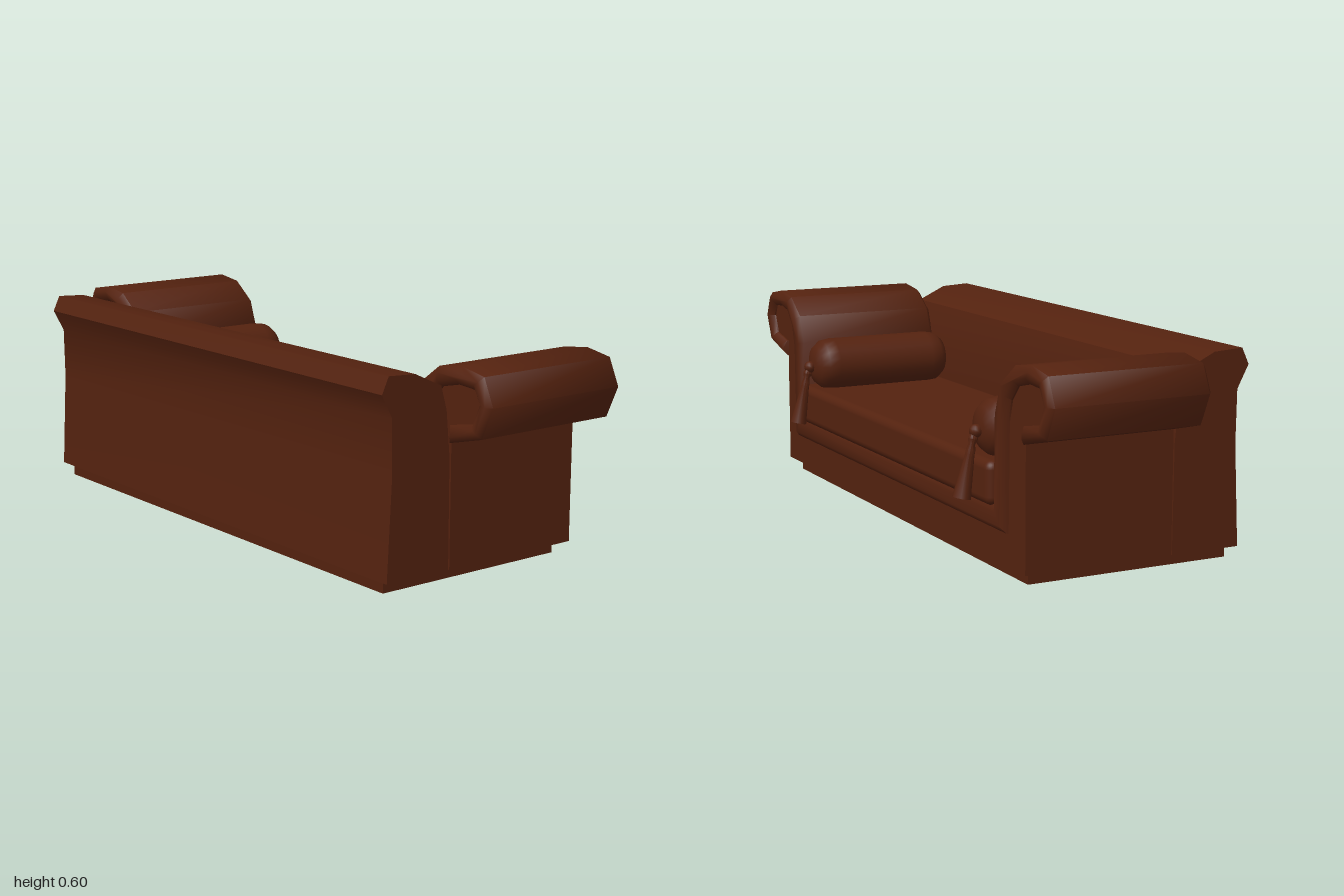
import * as THREE from 'three';
import { toCreasedNormals } from 'three/addons/utils/BufferGeometryUtils.js';
import { RoundedBoxGeometry } from 'three/addons/geometries/RoundedBoxGeometry.js';

const leather = new THREE.MeshStandardMaterial({ color: 0x54220f });
leather.name = 'brown leather';

function add(parent, name, geometry, x = 0, y = 0, z = 0) {
  const mesh = new THREE.Mesh(geometry, leather);
  mesh.name = name;
  mesh.position.set(x, y, z);
  parent.add(mesh);
  return mesh;
}

// Closed shape from the right half of a symmetric outline, listed from bottom to top
const mirrored = (half) => new THREE.Shape([
  ...half.map(([x, y]) => new THREE.Vector2(x, y)),
  ...[...half].reverse().map(([x, y]) => new THREE.Vector2(-x, y)),
]);

// Bolster cushion with a hanging tassel on its front end
function createBolster() {
  const bolster = new THREE.Group();
  bolster.name = 'bolster';
  const profile = [[0, -0.235], [0.03, -0.233], [0.06, -0.222], [0.078, -0.2], [0.084, -0.165],
    [0.084, 0.165], [0.078, 0.2], [0.06, 0.222], [0.03, 0.233], [0, 0.235]];
  const roll = new THREE.LatheGeometry(profile.map(([r, y]) => new THREE.Vector2(r, y)), 20);
  add(bolster, 'bolsterRoll', roll.rotateX(Math.PI / 2), 0, 0.39, -0.08);
  add(bolster, 'tasselKnob', new THREE.SphereGeometry(0.019, 12, 8), 0, 0.384, -0.322);

  const top = new THREE.Vector3(0, 0.378, -0.328);
  const dir = new THREE.Vector3(0, 0.203, -0.366).sub(top);
  const length = dir.length();
  const tasselProfile = [[0, 0], [0.009, 0], [0.014, 0.015], [0.009, 0.03], [0.013, 0.045],
    [0.013, 0.06], [0.026, length], [0, length]];
  const tassel = add(bolster, 'tassel', toCreasedNormals(new THREE.LatheGeometry(
    tasselProfile.reverse().map(([r, d]) => new THREE.Vector2(r, -d)), 12), 0.8));
  tassel.position.copy(top);
  tassel.quaternion.setFromUnitVectors(new THREE.Vector3(0, -1, 0), dir.normalize());
  return bolster;
}

export function createModel() {
  const sofa = new THREE.Group();
  sofa.name = 'sofa';

  // Recessed plinth
  add(sofa, 'plinth', new THREE.BoxGeometry(1.6, 0.04, 0.624), 0, 0.02, 0.04);

  // Base and inset arm panels
  const body = new THREE.ExtrudeGeometry(mirrored([
    [0.838, 0.037], [0.838, 0.41], [0.935, 0.435], [0.965, 0.51], [0.94, 0.565], [0.87, 0.575],
    [0.79, 0.56], [0.735, 0.5], [0.715, 0.42], [0.71, 0.17],
  ]), { depth: 0.453, bevelEnabled: false });
  add(sofa, 'base', toCreasedNormals(body, 0.7), 0, 0, -0.301);

  // Padded band running over one scrolled arm, under the seat and over the other arm
  const band = new THREE.ExtrudeGeometry(mirrored([
    [0.745, 0.13], [0.75, 0.43], [0.768, 0.495], [0.805, 0.537], [0.87, 0.552], [0.93, 0.548],
    [0.95, 0.51], [0.925, 0.455], [0.835, 0.437], [0.835, 0.388], [0.96, 0.42], [1, 0.51],
    [0.965, 0.587], [0.88, 0.602], [0.79, 0.59], [0.715, 0.535], [0.685, 0.45], [0.68, 0.2],
  ]), {
    depth: 0.462, bevelThickness: 0.014, bevelSize: 0.016, bevelOffset: -0.016, bevelSegments: 1,
  });
  add(sofa, 'armAndSeatBand', toCreasedNormals(band, 0.9), 0, 0, -0.306);

  // Backrest, a side profile of [z, y] stretched along the width
  const backProfile = [[0.155, 0.037], [0.157, 0.35], [0.17, 0.48], [0.19, 0.548], [0.28, 0.59],
    [0.37, 0.595], [0.392, 0.548], [0.357, 0.482], [0.355, 0.33], [0.37, 0.037]];
  const back = new THREE.ExtrudeGeometry(
    new THREE.Shape(backProfile.map(([z, y]) => new THREE.Vector2(-z, y))),
    { depth: 1.674, bevelEnabled: false });
  add(sofa, 'backrest', toCreasedNormals(back.rotateY(Math.PI / 2), 0.8), -0.837);

  // Seat cushion
  add(sofa, 'seatCushion', new RoundedBoxGeometry(1.366, 0.125, 0.495, 3, 0.025), 0, 0.253, -0.083);

  // Bolsters at both ends
  for (const side of [-1, 1]) {
    const bolster = createBolster();
    bolster.position.x = side * 0.595;
    sofa.add(bolster);
  }
  return sofa;
}
